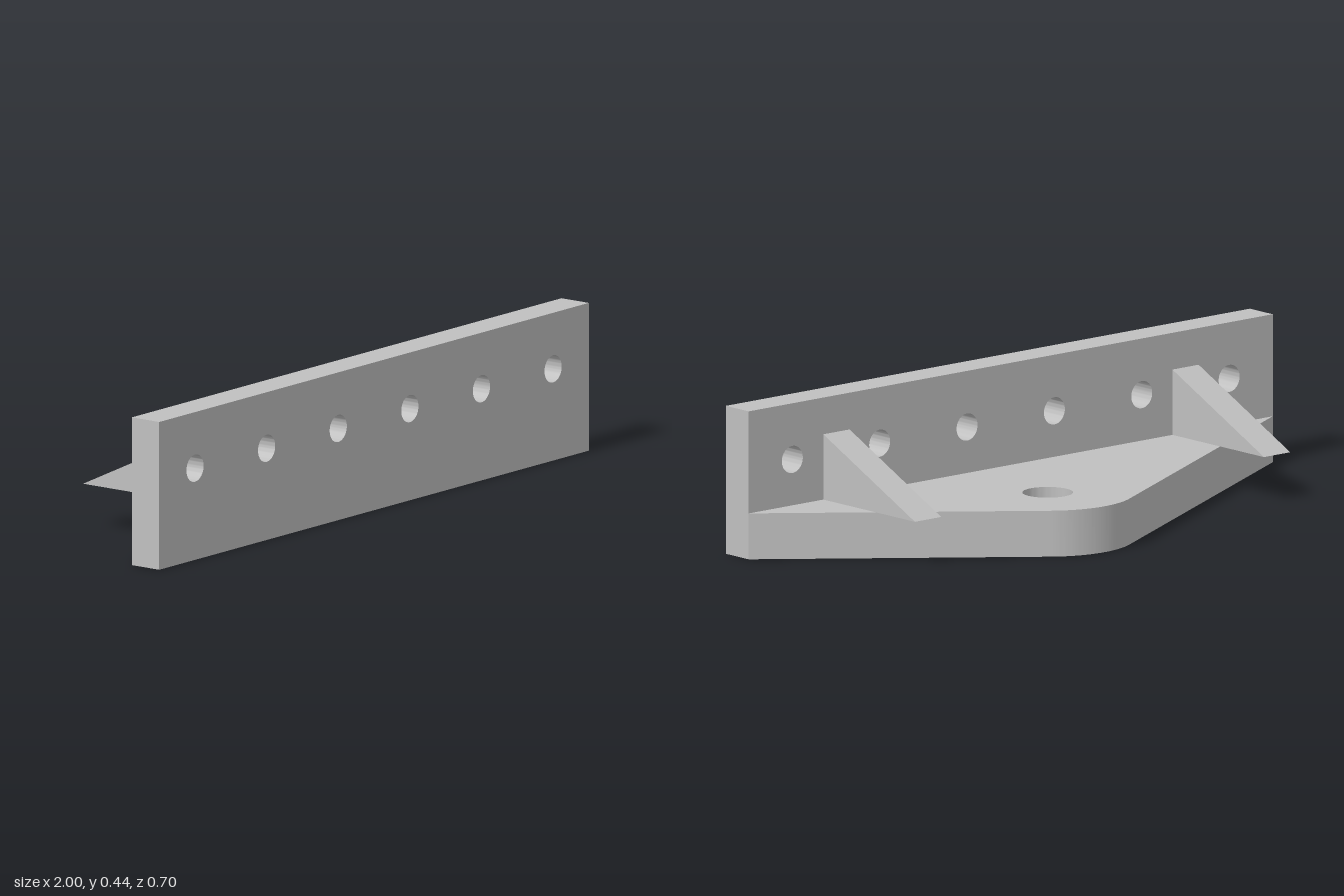
import * as THREE from 'three';
import { toCreasedNormals } from 'three/addons/utils/BufferGeometryUtils.js';

const steel = new THREE.MeshStandardMaterial({ color: 0xc0c0c0 });
steel.name = 'plain steel grey';

const WALL_BACK = 0.25, WALL_FRONT = 0.35, WALL_TOP = 0.435, SHELF_TOP = 0.135;

function extrude(shape, depth) {
  const geometry = new THREE.ExtrudeGeometry(shape, { depth, bevelEnabled: false, curveSegments: 32 });
  return toCreasedNormals(geometry, 0.5);
}

function part(name, geometry) {
  const mesh = new THREE.Mesh(geometry, steel);
  mesh.name = name;
  return mesh;
}

function addHole(shape, x, y, radius) {
  const hole = new THREE.Path();
  hole.absarc(x, y, radius, 0, Math.PI * 2, true);
  shape.holes.push(hole);
}

// Upright plate with a row of six bolt holes
function makeMountingPlate() {
  const shape = new THREE.Shape([[-1, 0], [1, 0], [1, WALL_TOP], [-1, WALL_TOP]]
    .map(([x, y]) => new THREE.Vector2(x, y)));
  for (let i = 0; i < 6; i++) addHole(shape, (i - 2.5) / 3, 0.27, 0.04);
  return part('mountingPlate', extrude(shape, WALL_FRONT - WALL_BACK).translate(0, 0, WALL_BACK));
}

// Flat shelf: two straight edges tangent to a rounded nose around the pin hole
function makeShelf() {
  const cx = 0.165, cy = 0.1, r = 0.25;
  const tangentAngle = (x, side) => {
    const dx = x - cx, dy = -WALL_BACK - cy;
    return Math.atan2(dy, dx) + side * Math.acos(r / Math.hypot(dx, dy));
  };
  const shape = new THREE.Shape();
  shape.moveTo(-1, -WALL_BACK);
  shape.lineTo(1, -WALL_BACK);
  shape.absarc(cx, cy, r, tangentAngle(1, 1), tangentAngle(-1, -1) + Math.PI * 2, false);
  shape.closePath();
  addHole(shape, cx, cy, 0.073);
  return part('shelf', extrude(shape, SHELF_TOP).rotateX(-Math.PI / 2));
}

// Triangular rib bracing the shelf against the upright plate
function makeGusset(name, x) {
  const width = 0.1;
  const shape = new THREE.Shape([[-WALL_BACK, SHELF_TOP], [0.15, SHELF_TOP], [-WALL_BACK, 0.327]]
    .map(([a, b]) => new THREE.Vector2(a, b)));
  return part(name, extrude(shape, width).rotateY(Math.PI / 2).translate(x - width / 2, 0, 0));
}

export function createModel() {
  const group = new THREE.Group();
  group.name = 'mountingBracket';
  group.add(
    makeMountingPlate(),
    makeShelf(),
    makeGusset('leftGusset', 0.665),
    makeGusset('rightGusset', -0.667),
  );
  return group;
}
